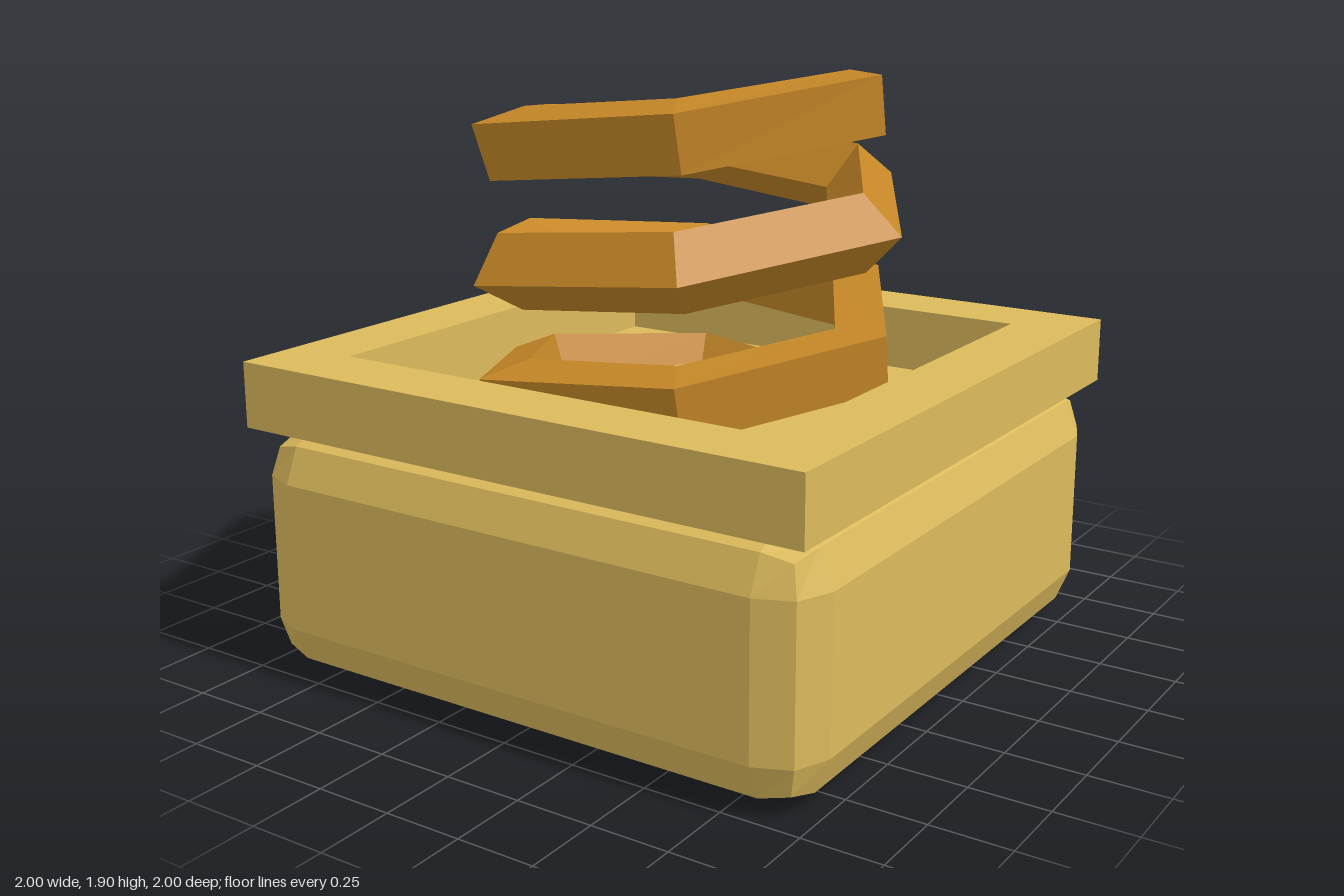
import * as THREE from 'three';
import { RoundedBoxGeometry } from 'three/addons/geometries/RoundedBoxGeometry.js';

// Square-section bar wound along a six-sided helix, slowly twisting as it climbs
function springGeometry({ radius, bar, pitch, midY, startStep, endStep }) {
  const point = (step) => {
    const a = (step * Math.PI) / 3;
    return new THREE.Vector3(radius * Math.cos(a), midY + (pitch * step) / 6, -radius * Math.sin(a));
  };
  const up = new THREE.Vector3(0, 1, 0);
  const positions = [];
  const index = [];
  const rings = endStep - startStep;

  for (let i = 0; i <= rings; i++) {
    const step = startStep + i;
    const p = point(step);
    const before = point(Math.max(step - 1, startStep));
    const after = point(Math.min(step + 1, endStep));
    const tangent = after.sub(before).normalize();
    const outward = tangent.clone().cross(up).normalize();
    const rise = outward.clone().cross(tangent);
    const twist = (step * Math.PI) / 24;
    for (let k = 0; k < 4; k++) {
      const a = twist + (k * Math.PI) / 2;
      const v = p.clone()
        .addScaledVector(outward, bar * Math.cos(a))
        .addScaledVector(rise, bar * Math.sin(a));
      positions.push(v.x, v.y, v.z);
    }
  }

  for (let i = 0; i < rings; i++) {
    for (let k = 0; k < 4; k++) {
      const a = i * 4 + k;
      const b = i * 4 + ((k + 1) % 4);
      index.push(a, a + 4, b + 4, a, b + 4, b);
    }
  }
  // end caps
  const e = rings * 4;
  index.push(0, 1, 2, 0, 2, 3, e, e + 2, e + 1, e, e + 3, e + 2);

  const geometry = new THREE.BufferGeometry();
  geometry.setAttribute('position', new THREE.Float32BufferAttribute(positions, 3));
  geometry.setIndex(index);
  geometry.computeVertexNormals();
  return geometry;
}

function squarePath(path, half) {
  path.moveTo(-half, -half);
  path.lineTo(half, -half);
  path.lineTo(half, half);
  path.lineTo(-half, half);
  path.closePath();
  return path;
}

export function createModel() {
  const group = new THREE.Group();
  group.name = 'springBox';

  const casing = new THREE.MeshStandardMaterial({ name: 'sand', color: 0xdcba5c, flatShading: true });
  const metal = new THREE.MeshStandardMaterial({ name: 'copper', color: 0xc58727, flatShading: true });

  const add = (name, geometry, material) => {
    const mesh = new THREE.Mesh(geometry, material);
    mesh.name = name;
    group.add(mesh);
    return mesh;
  };

  // Box body with bevelled edges
  add('body', new RoundedBoxGeometry(2, 0.8, 2, 1, 0.16), casing).position.y = 0.4;

  // Square frame on top of the body
  const frame = squarePath(new THREE.Shape(), 1);
  frame.holes.push(squarePath(new THREE.Path(), 0.772));
  const rimGeometry = new THREE.ExtrudeGeometry(frame, { depth: 0.212, bevelEnabled: false });
  rimGeometry.rotateX(-Math.PI / 2);
  add('rim', rimGeometry, casing).position.y = 0.8;

  // Coil spring rising out of the frame
  add('spring', springGeometry({
    radius: 0.62, bar: 0.125, pitch: 0.392, midY: 1.425, startStep: -12, endStep: 6,
  }), metal);

  return group;
}
